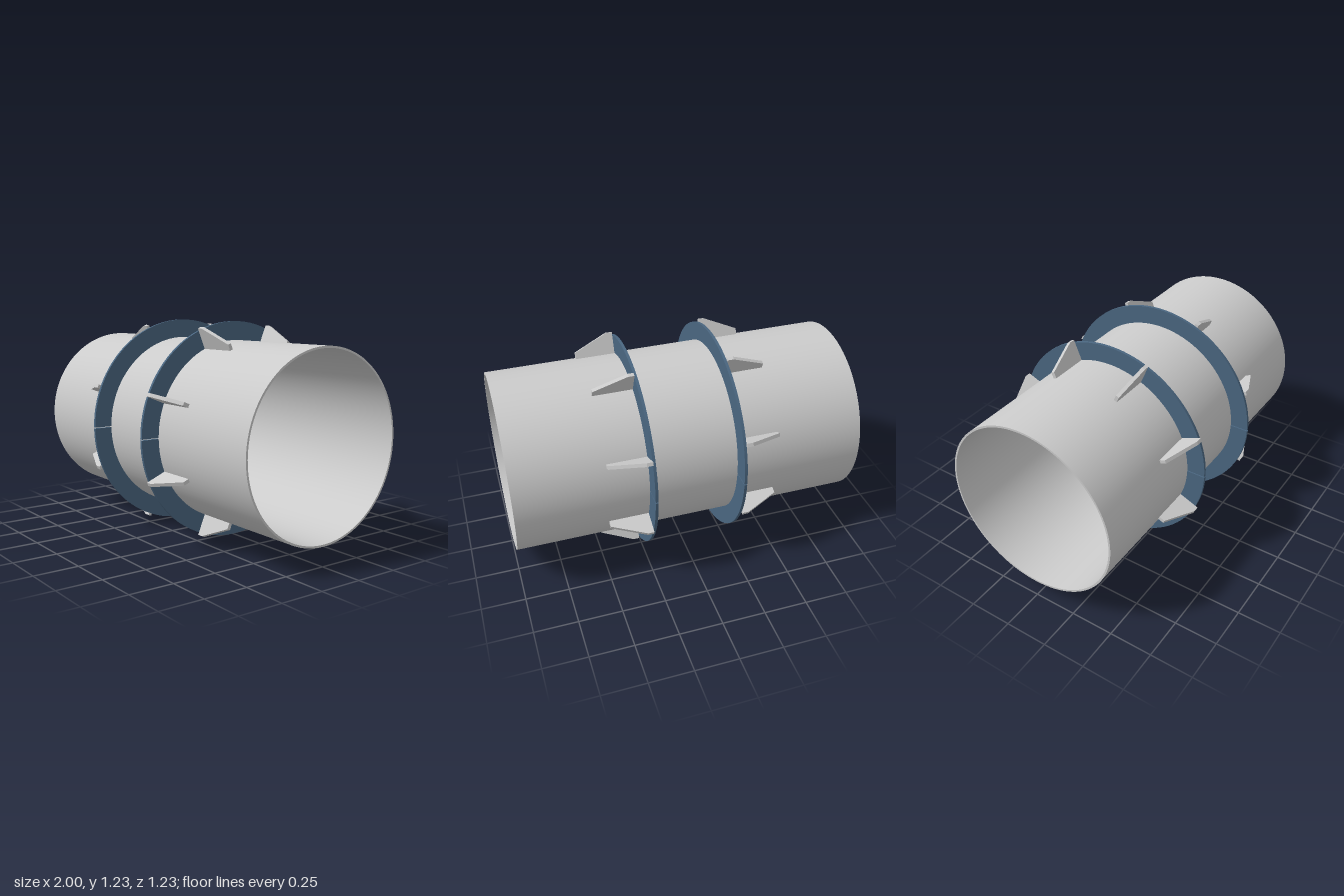
import * as THREE from 'three';
import { toCreasedNormals } from 'three/addons/utils/BufferGeometryUtils.js';

const PIPE_R = 0.511, BORE_R = 0.5, FLANGE_R = 0.617;
const FLANGE_X = 0.254, FLANGE_T = 0.016, GAP = 0.006;
const GUSSET_T = 0.02;

const grey = new THREE.MeshStandardMaterial({ color: 0xcccccc });
const blue = new THREE.MeshStandardMaterial({ color: 0x4a6680 });

function add(parent, name, geometry, material) {
  const mesh = new THREE.Mesh(geometry, material);
  mesh.name = name;
  parent.add(mesh);
  return mesh;
}

// Thin-walled pipe lying along x
function pipeGeometry() {
  const profile = [[BORE_R, -1], [PIPE_R, -1], [PIPE_R, 1], [BORE_R, 1], [BORE_R, -1]]
    .map(([r, y]) => new THREE.Vector2(r, y));
  const geometry = new THREE.LatheGeometry(profile, 96).rotateZ(Math.PI / 2);
  return toCreasedNormals(geometry, Math.PI / 6);
}

// Upper half of a split ring, thickness along x, centred on x = 0
function halfFlangeGeometry() {
  const outer = Math.asin(GAP / 2 / FLANGE_R), inner = Math.asin(GAP / 2 / PIPE_R);
  const shape = new THREE.Shape();
  shape.absarc(0, 0, FLANGE_R, outer, Math.PI - outer, false);
  shape.absarc(0, 0, PIPE_R, Math.PI - inner, inner, true);
  const geometry = new THREE.ExtrudeGeometry(shape, { depth: FLANGE_T, bevelEnabled: false, curveSegments: 24 });
  geometry.translate(0, 0, -FLANGE_T / 2).rotateY(Math.PI / 2);
  return toCreasedNormals(geometry, Math.PI / 6);
}

// Tapered stiffener plate: x along the pipe, y radial
function gussetGeometry() {
  const x0 = FLANGE_X + FLANGE_T / 2;
  const shape = new THREE.Shape([
    [x0, PIPE_R - 0.001], [0.488, PIPE_R - 0.001], [0.488, 0.546], [0.297, 0.632], [x0, 0.632],
  ].map(([x, y]) => new THREE.Vector2(x, y)));
  return new THREE.ExtrudeGeometry(shape, { depth: GUSSET_T, bevelEnabled: false })
    .translate(0, 0, -GUSSET_T / 2);
}

export function createModel() {
  const model = new THREE.Group();
  model.name = 'flangedPipe';
  model.position.y = FLANGE_R;
  add(model, 'pipe', pipeGeometry(), grey);

  const flange = halfFlangeGeometry();
  const gusset = gussetGeometry();
  for (const [side, turn] of [['left', 0], ['right', Math.PI]]) {
    // Each end holds a split flange and eight outward gussets
    const collar = new THREE.Group();
    collar.name = side + 'Collar';
    collar.rotation.y = turn;
    model.add(collar);
    for (const half of [0, 1]) {
      const ring = add(collar, half ? 'lowerFlangeHalf' : 'upperFlangeHalf', flange, blue);
      ring.position.x = FLANGE_X;
      ring.rotation.x = half * Math.PI;
    }
    for (let i = 0; i < 8; i++) {
      add(collar, 'gusset', gusset, grey).rotation.x = (i + 0.5) * Math.PI / 4;
    }
  }

  const root = new THREE.Group();
  root.name = 'pipeAssembly';
  root.add(model);
  return root;
}
